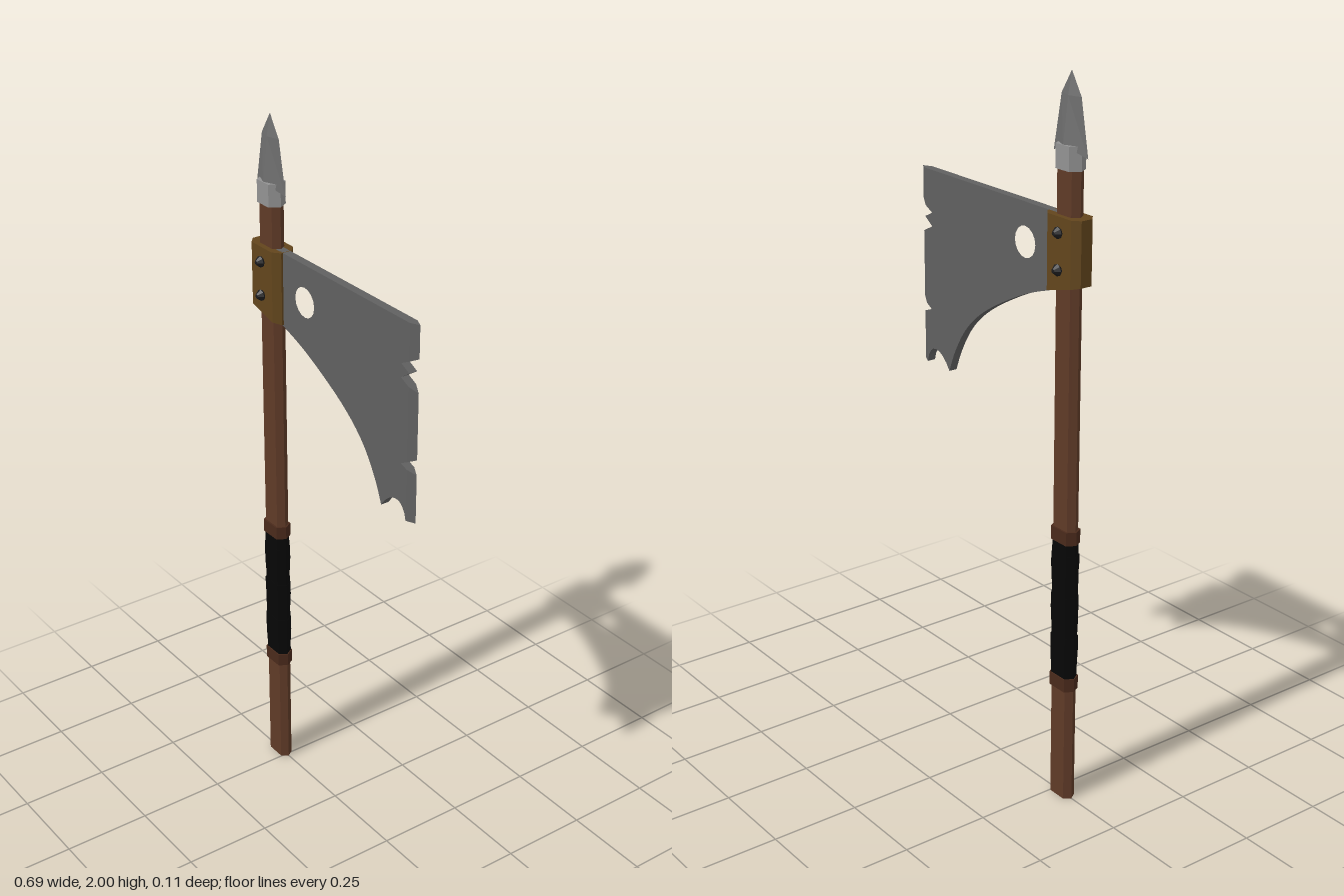
import * as THREE from 'three';

const CX = -0.28; // axis of the shaft
const EDGE_IN = 0.32, EDGE_OUT = 0.346, HALF_BLADE = 0.012;

const mat = (color) => new THREE.MeshStandardMaterial({ color, flatShading: true });
const wood = mat(0x5f3a27), collarWood = mat(0x4a2a1b), wrapMat = mat(0x060606);
const brass = mat(0x62451c), dark = mat(0x1c1c1e), steel = mat(0x606060);
const tipSteel = mat(0x6c6c6c), socketSteel = mat(0x929292);

function add(parent, name, geometry, material) {
  const mesh = new THREE.Mesh(geometry, material);
  mesh.name = name;
  parent.add(mesh);
  return mesh;
}

// Upright prism: half width w, half depth d, chamfer c; flat is half the width
// of the side face (0 gives a six-sided section with pointed sides)
function prism(w, d, c, flat, y0, y1) {
  const right = flat ? [[w, -flat], [w, flat]] : [[w, 0]];
  const left = right.map(([x, y]) => [-x, -y]);
  const pts = [...right, [w - c, d], [c - w, d], ...left, [c - w, -d], [w - c, -d]];
  const shape = new THREE.Shape(pts.map(([x, y]) => new THREE.Vector2(x, y)));
  return new THREE.ExtrudeGeometry(shape, { depth: y1 - y0, bevelEnabled: false })
    .rotateX(-Math.PI / 2).translate(CX, y0, 0);
}

// Move vertices so that y follows a rule
function bend(geometry, rule) {
  const p = geometry.attributes.position;
  for (let i = 0; i < p.count; i++) p.setY(i, rule(p.getX(i), p.getY(i)));
  geometry.computeVertexNormals();
  return geometry;
}

// Faceted solid from triangles given as triples of points
function facets(triangles) {
  const g = new THREE.BufferGeometry();
  g.setAttribute('position', new THREE.Float32BufferAttribute(triangles.flat(2), 3));
  g.computeVertexNormals();
  return g;
}

// Sharpened edge between two heights; inner heights differ where a notch cuts in
function edgeWedge(botIn, botOut, topIn, topOut) {
  const t = HALF_BLADE;
  const a = [EDGE_IN, botIn, t], b = [EDGE_OUT, botOut, 0], c = [EDGE_OUT, topOut, 0], d = [EDGE_IN, topIn, t];
  const e = [EDGE_IN, botIn, -t], f = [EDGE_IN, topIn, -t];
  return facets([[a, b, c], [a, c, d], [e, c, b], [e, f, c], [a, e, b], [d, c, f]]);
}

// Spear point: diamond cross-sections, closed below
function spearPoint() {
  const ring = (y, w, d, ridgeY) =>
    [[CX + w, y, 0], [CX, ridgeY, d], [CX - w, y, 0], [CX, ridgeY, -d]];
  const lo = ring(1.795, 0.066, 0.025, 1.82), hi = ring(1.94, 0.038, 0.011, 1.94);
  const apex = [CX, 2, 0], base = [CX, 1.82, 0], tris = [];
  for (let i = 0; i < 4; i++) {
    const j = (i + 1) % 4;
    tris.push([lo[i], hi[j], lo[j]], [lo[i], hi[i], hi[j]], [hi[i], apex, hi[j]], [base, lo[i], lo[j]]);
  }
  return facets(tris);
}

export function createModel() {
  const model = new THREE.Group();
  model.name = 'poleaxe';

  add(model, 'shaft', prism(0.041, 0.019, 0.013, 0, 0, 1.78), wood);

  // Grip: collars around slightly tilted wrapped bands
  const grip = new THREE.Group();
  grip.name = 'grip';
  model.add(grip);
  for (const y of [0.335, 0.767]) add(grip, 'gripCollar', prism(0.045, 0.024, 0.014, 0, y, y + 0.038), collarWood);
  const bands = 10, step = 0.4 / bands;
  for (let i = 0; i < bands; i++) {
    const y = 0.37 + i * step, grow = (i % 3) * 0.0008;
    const tilt = 0.05 * Math.sin(i * 2.1);
    const g = prism(0.042 + grow, 0.021 + grow, 0.013, 0, y - 0.002, y + step + 0.002);
    add(grip, 'gripWrap', bend(g, (x, v) => v + (x - CX) * tilt), wrapMat);
  }

  // Bracket with a sloping lower end
  const bracket = prism(0.066, 0.034, 0.02, 0.017, 1.46, 1.645);
  bend(bracket, (x, y) => (y < 1.5 ? 1.458 - (x - CX) * 0.25 : y));
  add(model, 'bracket', bracket, brass);

  // Rivets, front and back
  const rivetProfile = [[0.012, -0.003], [0.016, 0.005], [0.006, 0.018], [0, 0.019]]
    .map(([x, y]) => new THREE.Vector2(x, y));
  for (const side of [1, -1]) for (const y of [1.605, 1.51]) {
    const rivet = add(model, 'rivet', new THREE.LatheGeometry(rivetProfile, 8), dark);
    rivet.rotation.x = side * Math.PI / 2;
    rivet.position.set(CX, y, side * 0.034);
  }

  // Blade plate with notches, scalloped corner, curved underside and a round hole
  const s = new THREE.Shape();
  s.moveTo(-0.25, 1.645);
  for (const [x, y] of [[EDGE_IN, 1.645], [EDGE_IN, 1.542], [0.29, 1.527], [0.323, 1.511], [0.29, 1.489],
    [EDGE_IN, 1.475], [EDGE_IN, 1.265], [0.296, 1.252], [EDGE_IN, 1.244], [EDGE_IN, 1.096]]) s.lineTo(x, y);
  s.bezierCurveTo(0.31, 1.16, 0.255, 1.155, 0.218, 1.096);
  s.splineThru([[0.19, 1.16], [0.145, 1.23], [0.085, 1.288], [0, 1.343], [-0.125, 1.405], [-0.25, 1.448]]
    .map(([x, y]) => new THREE.Vector2(x, y)));
  const hole = new THREE.Path();
  hole.absarc(-0.117, 1.54, 0.042, 0, Math.PI * 2, true);
  s.holes.push(hole);
  const plate = new THREE.ExtrudeGeometry(s, { depth: 2 * HALF_BLADE, bevelEnabled: false, curveSegments: 8 });
  const blade = new THREE.Group();
  blade.name = 'blade';
  model.add(blade);
  add(blade, 'bladePlate', plate.translate(0, 0, -HALF_BLADE), steel);
  for (const heights of [[1.542, 1.555, 1.645, 1.645], [1.265, 1.278, 1.475, 1.463], [1.096, 1.096, 1.244, 1.235]])
    add(blade, 'bladeEdge', edgeWedge(...heights), steel);

  // Spear head
  add(model, 'spearSocket', prism(0.043, 0.027, 0.017, 0, 1.76, 1.822), socketSteel);
  add(model, 'spearPoint', spearPoint(), tipSteel);

  return model;
}
